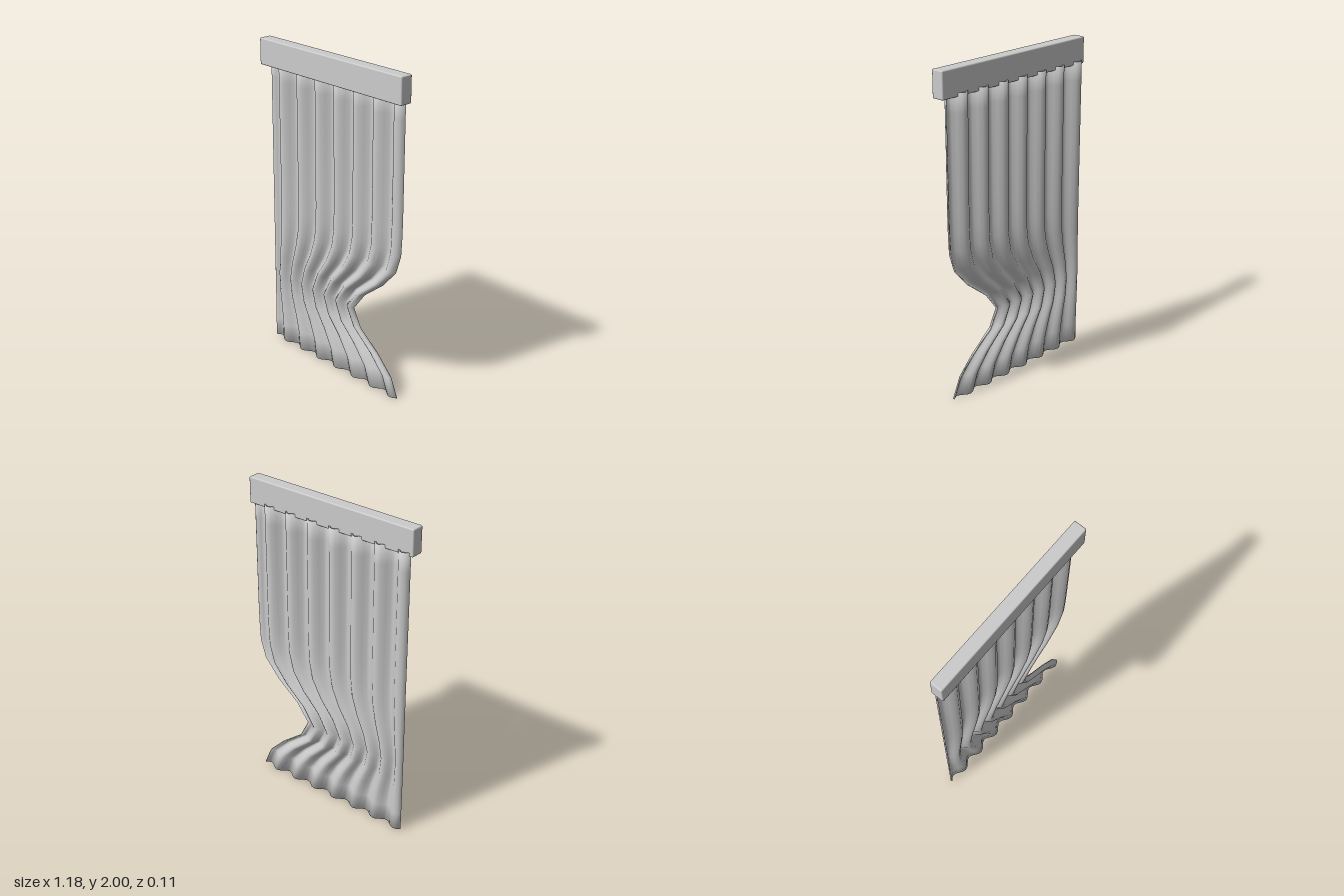
import * as THREE from 'three';
import { mergeVertices } from 'three/addons/utils/BufferGeometryUtils.js';
import { RoundedBoxGeometry } from 'three/addons/geometries/RoundedBoxGeometry.js';

const HEIGHT = 1.86, LEFT = -0.57, FOLDS = 7, ROWS = 16, THICK = 0.01;
// x of the free edge at each row, from the hem upwards; constant above the last entry
const FREE_EDGE = [0.54, 0.49, 0.375, 0.225, 0.165, 0.255, 0.405, 0.51, 0.547, 0.553, 0.555];

// Pleated cloth: a thin slab bent into waves and gathered at the tie
function curtainGeometry() {
  let geo = new THREE.BoxGeometry(1, 1, 1, FOLDS * 8, ROWS, 1);
  geo.deleteAttribute('uv');
  geo.deleteAttribute('normal');
  geo = mergeVertices(geo);
  const pos = geo.attributes.position;
  const rim = [];
  for (let i = 0; i < pos.count; i++) {
    const u = pos.getX(i) + 0.5, v = pos.getY(i) + 0.5, side = pos.getZ(i);
    const row = Math.min(Math.round(v * ROWS), FREE_EDGE.length - 1);
    const width = FREE_EDGE[row] - LEFT;
    const depth = THREE.MathUtils.lerp(0.02, 0.0315, v);
    const angle = u * FOLDS * Math.PI * 2;
    // offset along the normal of the wave keeps the cloth evenly thick
    const slope = -depth * Math.cos(angle) * FOLDS * Math.PI * 2 / width;
    const len = Math.hypot(1, slope);
    pos.setXYZ(i,
      LEFT + u * width - side * THICK * slope / len,
      v * HEIGHT,
      -0.016 - depth * Math.sin(angle) + side * THICK / len);
    rim.push([u < 0.001 ? -1 : u > 0.999 ? 1 : 0, v < 0.001 ? -1 : v > 0.999 ? 1 : 0]);
  }
  geo.computeVertexNormals();
  // soft rolled hems: lean the rim normals outwards
  const normal = geo.attributes.normal, n = new THREE.Vector3();
  rim.forEach(([ex, ey], i) => {
    n.fromBufferAttribute(normal, i);
    n.x += ex * 0.5;
    n.y += ey * 0.5;
    n.normalize();
    normal.setXYZ(i, n.x, n.y, n.z);
  });
  return geo;
}

export function createModel() {
  const group = new THREE.Group();
  group.name = 'curtain';
  const grey = new THREE.MeshStandardMaterial({ color: 0xcccccc });
  grey.name = 'light grey';

  const cloth = new THREE.Mesh(curtainGeometry(), grey);
  cloth.name = 'pleatedCloth';

  // Header box in front of the cloth's top edge
  const header = new THREE.Mesh(new RoundedBoxGeometry(1.178, 0.163, 0.081, 2, 0.008), grey);
  header.name = 'headerBox';
  header.position.set(-0.002, 1.9185, 0.0135);

  group.add(cloth, header);
  return group;
}
